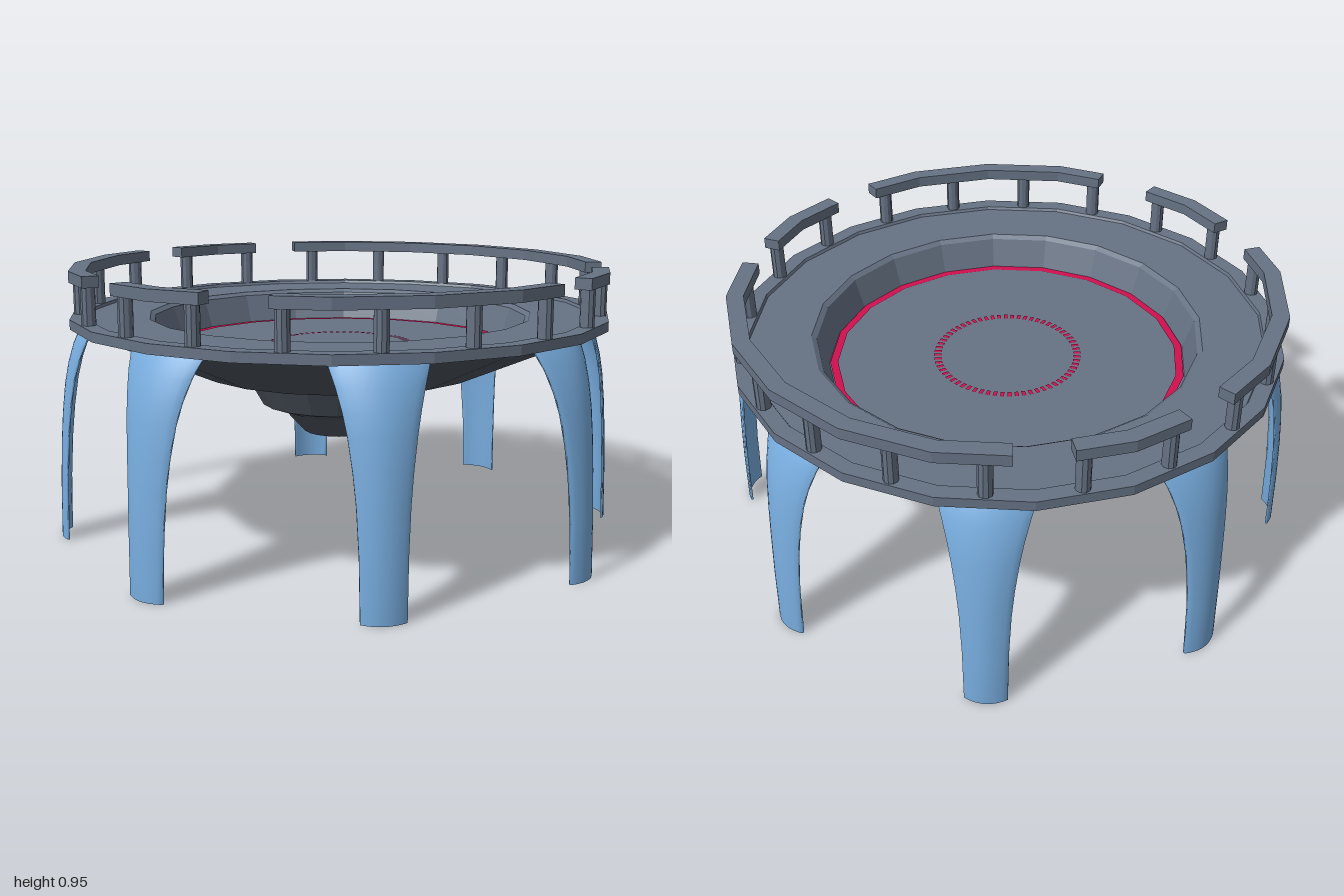
import * as THREE from 'three';

const SIDES = 20;
const rad = THREE.MathUtils.degToRad;

const mat = (color, extra = {}) => new THREE.MeshStandardMaterial({ color, ...extra });

// Radius of a 20-sided ring at a given angle in degrees (corner at 0)
function polyRadius(corner, deg) {
  const step = 360 / SIDES;
  const local = ((deg % step) + step) % step - step / 2;
  return corner * Math.cos(rad(step / 2)) / Math.cos(rad(local));
}

// Handrail piece following the polygon between two angles
function railGeometry(from, to) {
  const angles = [from];
  for (let a = Math.ceil(from / 18) * 18; a < to; a += 18) if (a > from) angles.push(a);
  angles.push(to);
  const point = (corner, a) => {
    const r = polyRadius(corner, a);
    return new THREE.Vector2(r * Math.sin(rad(a)), -r * Math.cos(rad(a)));
  };
  const outline = [
    ...angles.map(a => point(0.938, a)),
    ...angles.slice().reverse().map(a => point(0.88, a)),
  ];
  const geo = new THREE.ExtrudeGeometry(new THREE.Shape(outline), { depth: 0.038, bevelEnabled: false });
  geo.rotateX(-Math.PI / 2);
  geo.translate(0, 0.914, 0);
  return geo;
}

// Thin curved leg shell: [height, outer radius, half width] per section
function legGeometry() {
  const sections = [
    [0, 0.998, 0.07], [0.2, 0.993, 0.073], [0.35, 0.985, 0.08], [0.45, 0.977, 0.089],
    [0.55, 0.965, 0.102], [0.62, 0.951, 0.115], [0.69, 0.93, 0.132], [0.755, 0.9, 0.152],
  ];
  const n = 10, loop = 2 * (n + 1), thick = 0.008;
  const pos = [], idx = [];
  for (const [y, r, w] of sections) {
    const sag = 0.022 + (w - 0.07) * 0.25;
    for (let i = 0; i < loop; i++) {
      const inner = i > n;
      const t = (inner ? loop - 1 - i : i) / n * 2 - 1;
      pos.push(t * w, y, r - sag * t * t - (inner ? thick : 0));
    }
  }
  for (let s = 0; s < sections.length - 1; s++) {
    for (let i = 0; i < loop; i++) {
      const a = s * loop + i, b = s * loop + (i + 1) % loop;
      idx.push(a, b, b + loop, a, b + loop, a + loop);
    }
  }
  // End caps
  const top = (sections.length - 1) * loop;
  for (let i = 0; i < n; i++) {
    const j = loop - 1 - i;
    idx.push(i, j, j - 1, i, j - 1, i + 1);
    idx.push(top + i, top + i + 1, top + j - 1, top + i, top + j - 1, top + j);
  }
  const geo = new THREE.BufferGeometry();
  geo.setAttribute('position', new THREE.Float32BufferAttribute(pos, 3));
  geo.setIndex(idx);
  geo.computeVertexNormals();
  return geo;
}

export function createModel() {
  const model = new THREE.Group();
  const deckMat = mat(0x667284, { flatShading: true });
  const hullMat = mat(0x4d5660, { flatShading: true });
  const legMat = mat(0x78addf, { side: THREE.DoubleSide });
  const pinkMat = mat(0xd01050, { side: THREE.DoubleSide });

  const add = (name, geo, material, parent = model) => {
    const mesh = new THREE.Mesh(geo, material);
    mesh.name = name;
    parent.add(mesh);
    return mesh;
  };
  const group = name => {
    const g = new THREE.Group();
    g.name = name;
    model.add(g);
    return g;
  };
  const lathe = pts => new THREE.LatheGeometry(pts.map(p => new THREE.Vector2(...p)), SIDES);

  // Stepped underside
  add('hull', lathe([
    [0, 0.355], [0.13, 0.355], [0.2, 0.432], [0.28, 0.46], [0.335, 0.557], [0.5, 0.58], [0.905, 0.757],
  ]), hullMat);

  // Walkway with edge lip and sunken floor
  add('deck', lathe([
    [0.9, 0.755], [0.94, 0.757], [0.94, 0.79], [0.885, 0.79], [0.88, 0.78],
    [0.672, 0.78], [0.655, 0.768], [0.62, 0.665], [0, 0.665],
  ]), deckMat);

  // Floor markings
  const floorRing = new THREE.RingGeometry(0.59, 0.617, SIDES, 1, Math.PI / 2);
  floorRing.rotateX(-Math.PI / 2);
  add('floorRing', floorRing, pinkMat).position.y = 0.669;

  const dashes = group('dashedCircle');
  const dashGeo = new THREE.PlaneGeometry(0.013, 0.025);
  dashGeo.rotateX(-Math.PI / 2);
  dashGeo.translate(0, 0.669, 0.244);
  for (let i = 0; i < 64; i++) {
    add('dash', dashGeo, pinkMat, dashes).rotation.y = i / 64 * Math.PI * 2;
  }

  // Handrails with gaps between them
  const rails = group('handrails');
  const spans = [[-11.5, 11.5], [25, 84.5], [96, 119], [130, 230], [241, 264], [275.5, 335]];
  for (const [from, to] of spans) add('handrail', railGeometry(from, to), deckMat, rails);

  // Posts at the middle of each deck side
  const posts = group('railPosts');
  const postGeo = new THREE.CylinderGeometry(0.024, 0.024, 0.136, 10);
  for (let i = 0; i < SIDES; i++) {
    const a = rad(18 * i + 9);
    add('railPost', postGeo, deckMat, posts).position.set(0.9 * Math.sin(a), 0.848, 0.9 * Math.cos(a));
  }

  // Eight curved legs
  const legs = group('legs');
  const legGeo = legGeometry();
  for (let i = 0; i < 8; i++) add('leg', legGeo, legMat, legs).rotation.y = i * Math.PI / 4;

  return model;
}
